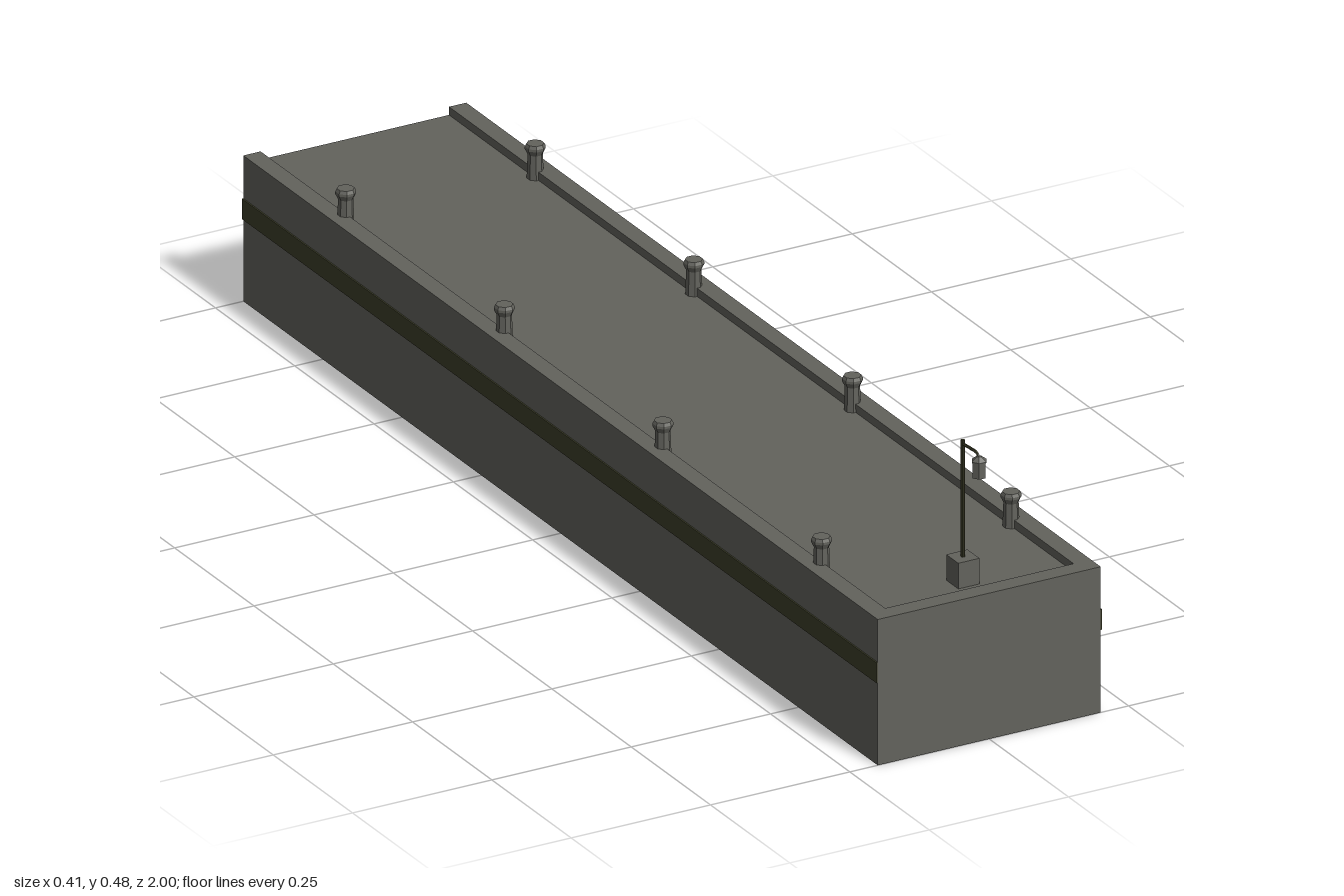
import * as THREE from 'three';

export function createModel() {
  const model = new THREE.Group();
  const mat = (name, color) => {
    const m = new THREE.MeshStandardMaterial({ color, flatShading: true });
    m.name = name;
    return m;
  };
  const concrete = mat('concrete grey', 0x62625c);
  const olive = mat('dark olive', 0x3c3d28);

  const add = (parent, name, geometry, material, x = 0, y = 0, z = 0) => {
    const mesh = new THREE.Mesh(geometry, material);
    mesh.name = name;
    mesh.position.set(x, y, z);
    parent.add(mesh);
    return mesh;
  };
  const box = (parent, name, w, h, d, material, x, y, z) =>
    add(parent, name, new THREE.BoxGeometry(w, h, d), material, x, y, z);
  // Faceted turned shape; points are [radius, height], flat side to the front
  const turned = (parent, name, points, sides, material, x, y, z) => {
    const profile = points.map(([r, h]) => new THREE.Vector2(r, h));
    const geometry = new THREE.LatheGeometry(profile, sides).toNonIndexed();
    geometry.rotateY(Math.PI / sides);
    geometry.computeVertexNormals();
    return add(parent, name, geometry, material, x, y, z);
  };

  // Solid pier with a slightly sunken deck, open at the back
  const deckY = 0.236, topY = 0.25, rim = 0.031;
  const rimH = topY - deckY, rimY = (topY + deckY) / 2;
  box(model, 'pierBody', 0.4, deckY, 2, concrete, 0, deckY / 2, 0);
  box(model, 'frontRim', 0.4, rimH, rim, concrete, 0, rimY, 1 - rim / 2);

  for (const side of [-1, 1]) {
    const label = side > 0 ? 'left' : 'right';
    box(model, label + 'Rim', rim, rimH, 2 - rim, concrete, side * (0.2 - rim / 2), rimY, -rim / 2);
    // Fender strip along the side wall
    box(model, label + 'Fender', 0.003, 0.035, 2, olive, side * 0.201, 0.159, 0);

    // Mooring bollards
    for (const z of [0.77, 0.27, -0.23, -0.73]) {
      const bollard = new THREE.Group();
      bollard.name = label + 'Bollard';
      bollard.position.set(side * 0.17, 0, z);
      turned(bollard, 'bollardPost', [[0.0135, deckY], [0.012, 0.279]], 8, concrete);
      turned(bollard, 'bollardCap',
        [[0.012, 0.277], [0.0165, 0.286], [0.0165, 0.29], [0.014, 0.295], [0, 0.295]], 8, concrete);
      model.add(bollard);
    }
  }

  // Lamp post near the front end
  const lamp = new THREE.Group();
  lamp.name = 'lampPost';
  lamp.position.z = 0.917;
  model.add(lamp);
  box(lamp, 'lampBase', 0.038, 0.28 - deckY, 0.038, concrete, 0, (0.28 + deckY) / 2, 0);
  add(lamp, 'lampPole', new THREE.CylinderGeometry(0.0035, 0.0035, 0.2, 8), olive, 0, 0.38, 0);
  const arm = new THREE.CatmullRomCurve3([
    new THREE.Vector3(0, 0.473, 0), new THREE.Vector3(0, 0.475, 0.025),
    new THREE.Vector3(0, 0.475, 0.045), new THREE.Vector3(0, 0.468, 0.051),
  ]);
  add(lamp, 'lampArm', new THREE.TubeGeometry(arm, 8, 0.0025, 6), olive);
  turned(lamp, 'lanternBody', [[0, 0.437], [0.0118, 0.437], [0.0118, 0.464]], 6, concrete, 0, 0, 0.051);
  turned(lamp, 'lanternRoof',
    [[0, 0.463], [0.013, 0.463], [0.013, 0.465], [0.004, 0.472], [0, 0.472]], 6, concrete, 0, 0, 0.051);

  return model;
}
